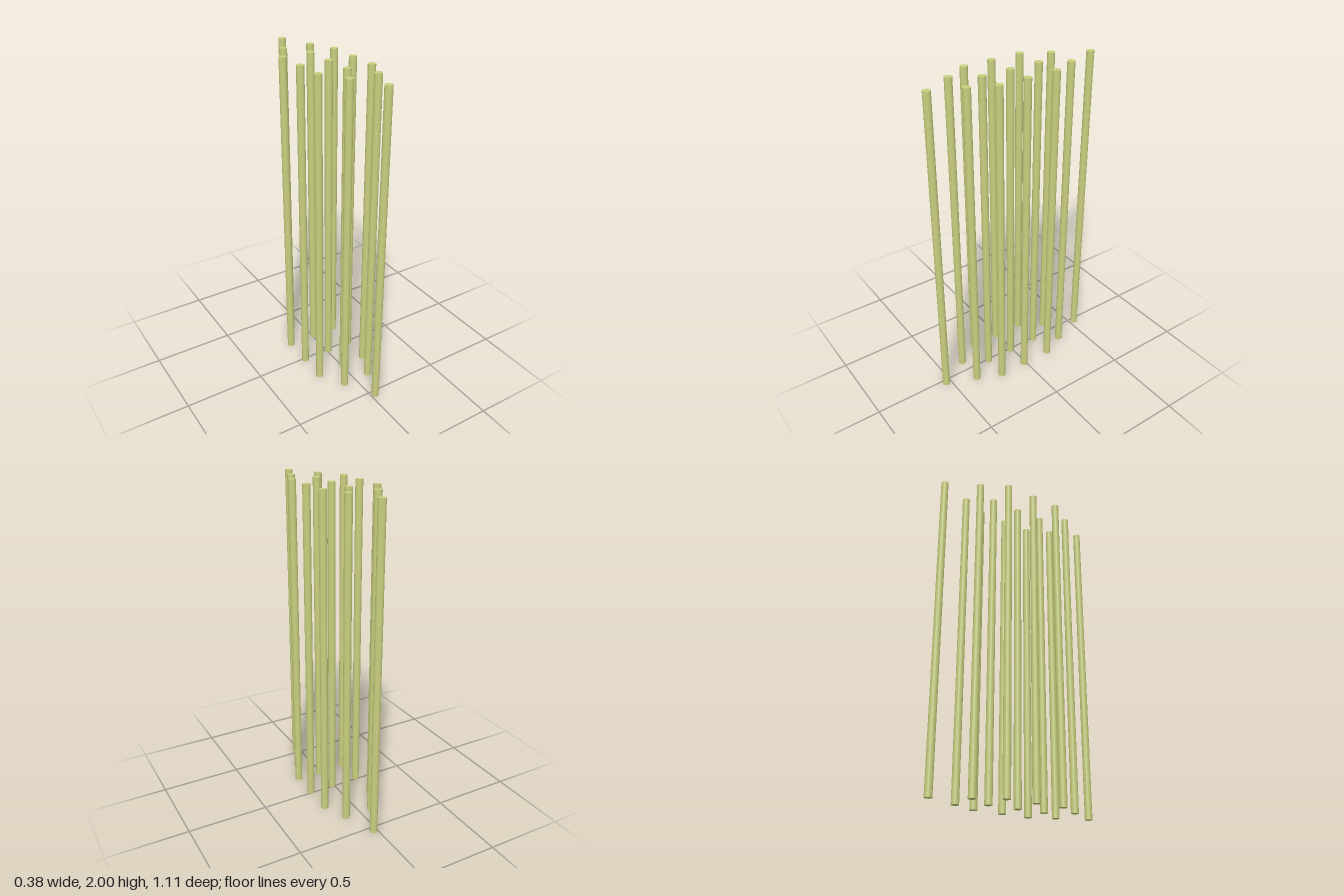
import * as THREE from 'three';

// Rows of slender upright poles arranged in a long hexagon
const HEIGHT = 2;
const RADIUS = 0.0228;
const PAIR = [-0.079, 0.101];
const TRIPLE = [-0.17, 0.01, 0.168];
const ROWS = [
  { z: -0.534, xs: [0.026] },
  { z: -0.333, xs: PAIR },
  { z: -0.178, xs: TRIPLE },
  { z: 0.013, xs: TRIPLE },
  { z: 0.193, xs: TRIPLE },
  { z: 0.345, xs: PAIR },
  { z: 0.532, xs: [0.026] },
];

export function createModel() {
  const model = new THREE.Group();
  model.name = 'poleCluster';

  const paleOlive = new THREE.MeshStandardMaterial({ color: 0xc8cf7e });
  paleOlive.name = 'pale olive';

  // One shared pole standing on the ground
  const poleGeometry = new THREE.CylinderGeometry(RADIUS, RADIUS, HEIGHT, 32);
  poleGeometry.translate(0, HEIGHT / 2, 0);

  ROWS.forEach(({ z, xs }, r) => {
    const row = new THREE.Group();
    row.name = `poleRow${r + 1}`;
    xs.forEach((x, i) => {
      const pole = new THREE.Mesh(poleGeometry, paleOlive);
      pole.name = `pole${r + 1}_${i + 1}`;
      pole.position.set(x, 0, z);
      row.add(pole);
    });
    model.add(row);
  });

  return model;
}
